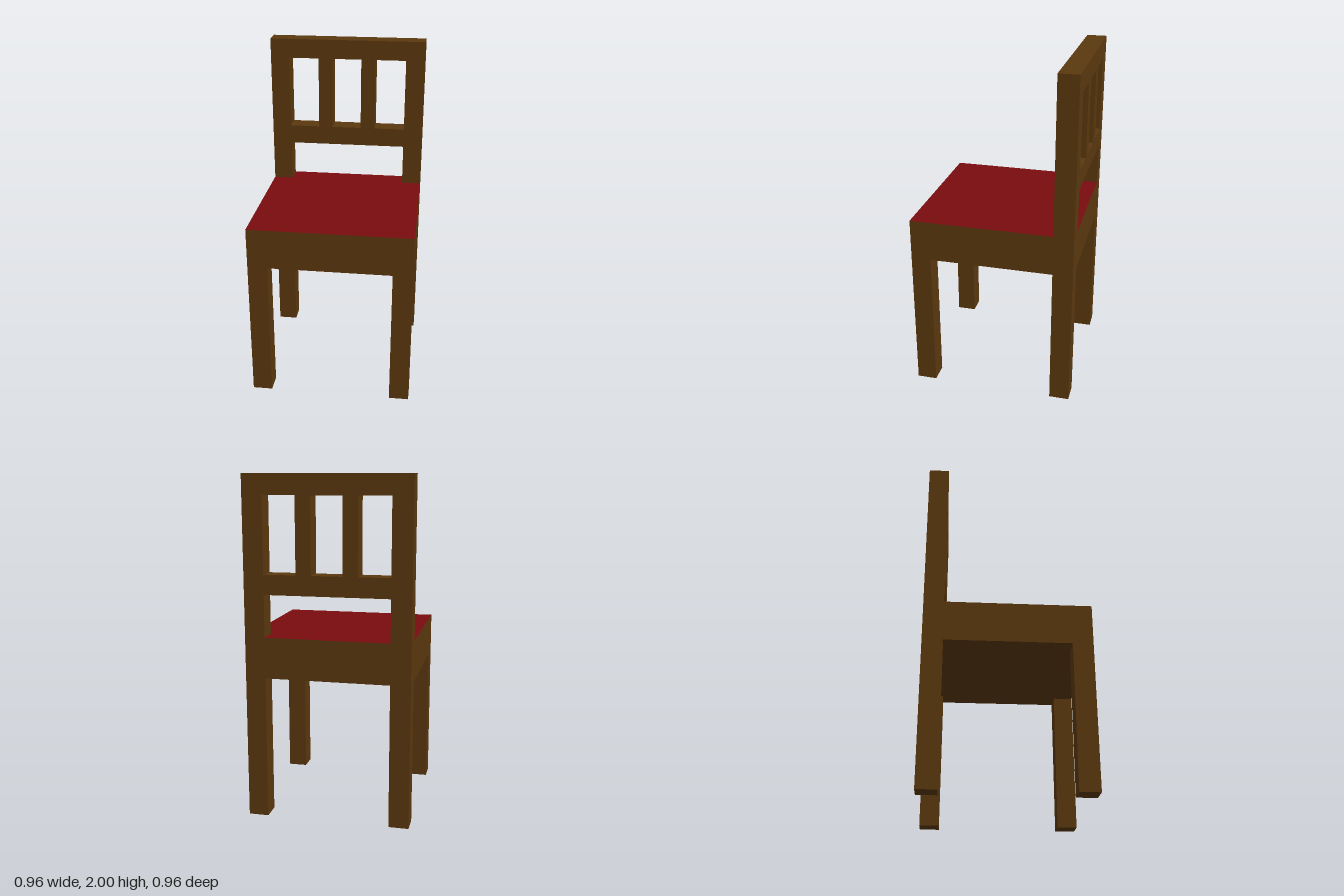
import * as THREE from 'three';

const HALF = 0.48;        // half width and half depth of the chair
const POST = 0.117;       // thickness of legs, posts and rails
const SEAT_BOTTOM = 0.845;
const SEAT_TOP = 1.084;

const wood = new THREE.MeshStandardMaterial({ color: 0x5a380e });
const red = new THREE.MeshStandardMaterial({ color: 0x7a0c0e });

// Rectangle outline from corner to corner
function rect(Type, x0, y0, x1, y1) {
  return new Type([[x0, y0], [x1, y0], [x1, y1], [x0, y1]].map(([x, y]) => new THREE.Vector2(x, y)));
}

function addMesh(group, name, geometry, material, x, y, z) {
  const mesh = new THREE.Mesh(geometry, material);
  mesh.name = name;
  mesh.position.set(x, y, z);
  group.add(mesh);
}

export function createModel() {
  const chair = new THREE.Group();
  chair.name = 'chair';
  const inner = HALF - POST;

  // Four square legs
  const legGeometry = new THREE.BoxGeometry(POST, SEAT_BOTTOM, POST);
  const legOffset = HALF - POST / 2;
  for (const [zName, zs] of [['front', 1], ['back', -1]]) {
    for (const [xName, xs] of [['Left', 1], ['Right', -1]]) {
      addMesh(chair, `${zName}${xName}Leg`, legGeometry, wood, xs * legOffset, SEAT_BOTTOM / 2, zs * legOffset);
    }
  }

  // Thick seat block with a red top face
  const seatHeight = SEAT_TOP - SEAT_BOTTOM;
  addMesh(chair, 'seat', new THREE.BoxGeometry(2 * HALF, seatHeight, 2 * HALF),
    [wood, wood, red, wood, wood, wood], 0, SEAT_BOTTOM + seatHeight / 2, 0);

  // Backrest: posts, two rails and two slats cut from one board, open at the bottom
  const railBottom = 1.33, railTop = 1.445, topRail = 2 - POST;
  const back = new THREE.Shape([
    [-HALF, SEAT_TOP], [-inner, SEAT_TOP], [-inner, railBottom], [inner, railBottom],
    [inner, SEAT_TOP], [HALF, SEAT_TOP], [HALF, 2], [-HALF, 2],
  ].map(([x, y]) => new THREE.Vector2(x, y)));
  for (const [x0, x1] of [[-inner, -0.18], [-0.093, 0.087], [0.175, inner]]) {
    back.holes.push(rect(THREE.Path, x0, railTop, x1, topRail));
  }
  addMesh(chair, 'backrest', new THREE.ExtrudeGeometry(back, { depth: POST, bevelEnabled: false }),
    wood, 0, 0, -HALF);

  return chair;
}
